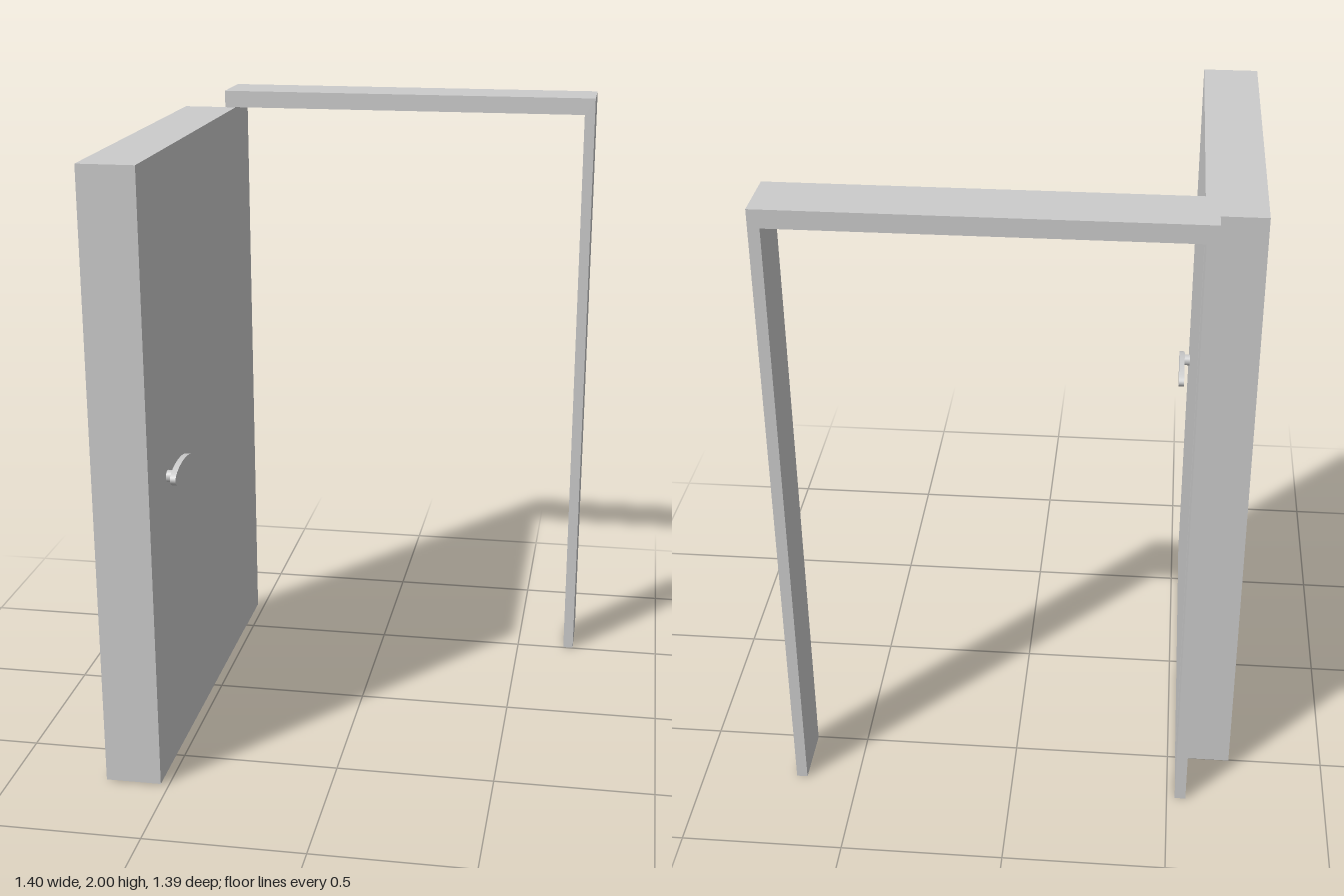
import * as THREE from 'three';

export function createModel() {
  const model = new THREE.Group();
  const grey = new THREE.MeshStandardMaterial({ color: 0xcccccc });
  grey.name = 'plain grey';

  const add = (name, geometry, parent = model) => {
    const mesh = new THREE.Mesh(geometry, grey);
    mesh.name = name;
    parent.add(mesh);
    return mesh;
  };
  // Box given by its lower and upper bounds on each axis
  const slab = (x0, x1, y0, y1, z0, z1) =>
    new THREE.BoxGeometry(x1 - x0, y1 - y0, z1 - z0)
      .translate((x0 + x1) / 2, (y0 + y1) / 2, (z0 + z1) / 2);

  // Door frame: one arch-shaped outline, extruded through its depth
  const outline = new THREE.Shape([
    [-0.56, 0], [-0.526, 0], [-0.526, 1.945], [0.666, 1.945],
    [0.666, 0], [0.7, 0], [0.7, 2], [-0.56, 2],
  ].map(([x, y]) => new THREE.Vector2(x, y)));
  add('doorFrame', new THREE.ExtrudeGeometry(outline, { depth: 0.19, bevelEnabled: false })
    .translate(0, 0, -0.693));

  // Door leaf, swung open at a right angle to the frame
  add('doorLeaf', slab(-0.7, -0.525, 0.004, 1.944, -0.507, 0.693));

  // Handle: round stem carrying a flat oval grip
  const handle = new THREE.Group();
  handle.name = 'handle';
  model.add(handle);
  add('handleStem', new THREE.CylinderGeometry(0.019, 0.019, 0.026, 32)
    .rotateZ(Math.PI / 2).translate(-0.514, 0.955, 0.488), handle);
  add('handleGrip', new THREE.CylinderGeometry(1, 1, 0.018, 48)
    .scale(0.036, 1, 0.109).rotateZ(Math.PI / 2).translate(-0.497, 0.955, 0.423), handle);

  return model;
}
